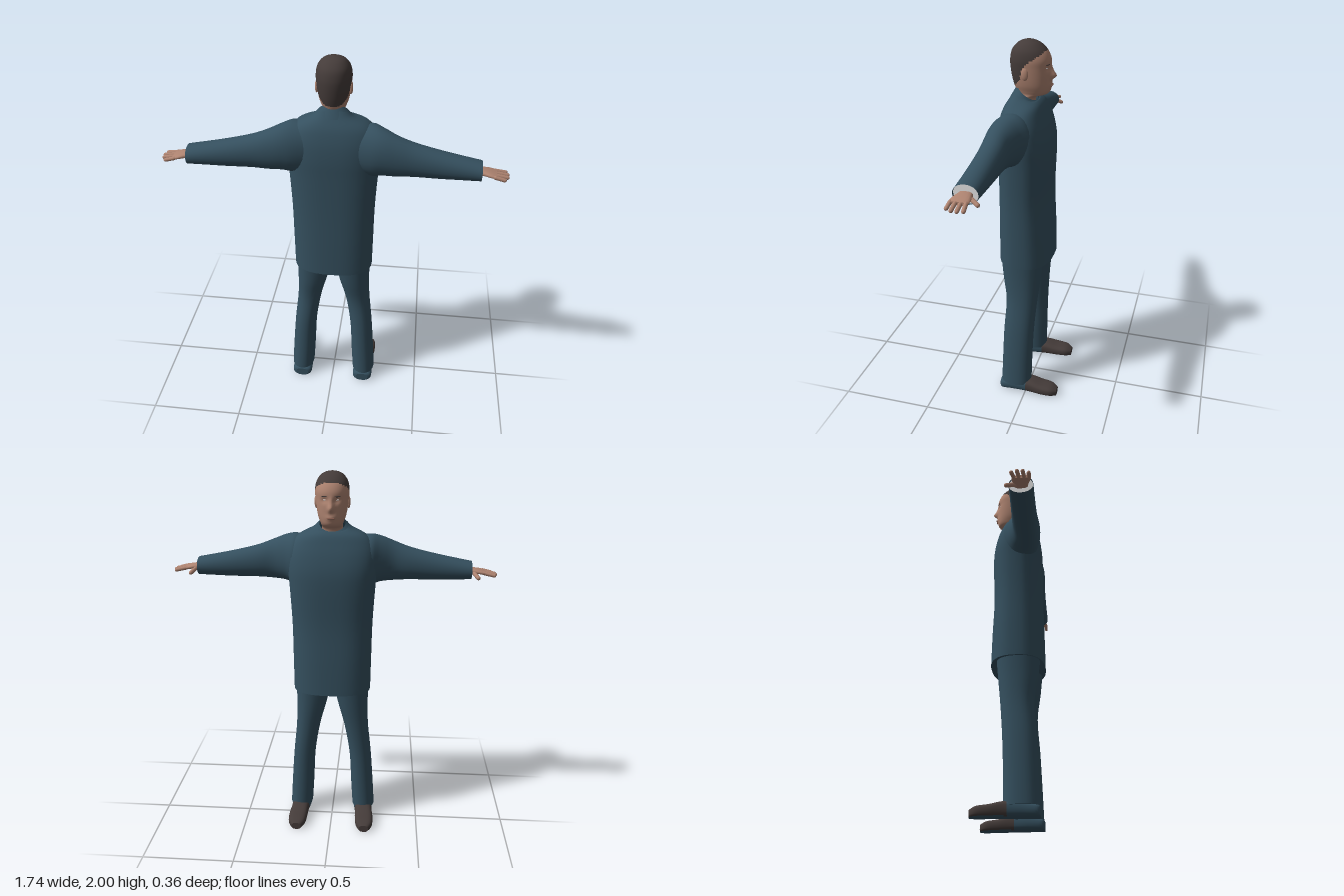
import * as THREE from 'three';

const mat = (name, color) => {
  const m = new THREE.MeshStandardMaterial({ color });
  m.name = name;
  return m;
};

// Catmull-Rom interpolation of rows of numbers
function smooth(rows, steps) {
  const out = [], n = rows.length;
  for (let i = 0; i < n - 1; i++) {
    const [a, b, c, d] = [rows[Math.max(i - 1, 0)], rows[i], rows[i + 1], rows[Math.min(i + 2, n - 1)]];
    for (let k = 0; k < steps; k++) {
      const t = k / steps;
      out.push(b.map((v, j) => v + 0.5 * t * (c[j] - a[j] +
        t * (2 * a[j] - 5 * v + 4 * c[j] - d[j] + t * (3 * (v - c[j]) + d[j] - a[j])))));
    }
  }
  out.push(rows[n - 1]);
  return out;
}

// Skin over rings of points; optional flat ends; pick() chooses a material per quad
function loft(rings, { start = false, end = false, flip = false, pick = null } = {}) {
  const centre = r => {
    const c = r.reduce((s, p) => s.add(p), new THREE.Vector3()).divideScalar(r.length);
    return r.map(() => c);
  };
  const all = [...rings], n = rings[0].length;
  if (start) all.unshift(centre(rings[0]), rings[0]);
  if (end) all.push(rings[rings.length - 1], centre(rings[rings.length - 1]));
  const faces = [[], []];
  for (let i = 0; i < all.length - 1; i++) {
    for (let j = 0; j < n; j++) {
      const k = (j + 1) % n, a = i * n + j, b = i * n + k, c = a + n, d = b + n;
      const mid = all[i][j].clone().add(all[i][k]).add(all[i + 1][j]).add(all[i + 1][k]).multiplyScalar(0.25);
      faces[pick ? pick(mid) : 0].push(...(flip ? [a, b, c, b, d, c] : [a, c, b, b, c, d]));
    }
  }
  const g = new THREE.BufferGeometry().setFromPoints(all.flat());
  g.setIndex([...faces[0], ...faces[1]]);
  if (pick) {
    g.addGroup(0, faces[0].length, 0);
    g.addGroup(faces[0].length, faces[1].length, 1);
  }
  g.computeVertexNormals();
  return g;
}

// Rounded section: power 1 is an ellipse, smaller is squarer
function section(n, power, place) {
  const p = v => Math.sign(v) * Math.abs(v) ** power;
  return Array.from({ length: n }, (_, j) => {
    const t = j / n * Math.PI * 2;
    return place(p(Math.cos(t)), p(Math.sin(t)));
  });
}

// Upright section from [y, back z, front z, half width, centre x, front drop]
const upright = (n, power) => ([y, zb, zf, w, cx, drop]) => section(n, power, (c, s) =>
  new THREE.Vector3(cx + w * c, y + drop * (s - 1) / 2, (zb + zf) / 2 + s * (zb - zf) / 2));

export function createModel() {
  const model = new THREE.Group();
  model.name = 'standingMan';
  const cloth = mat('navy cloth', 0x35505f);
  const skin = mat('skin', 0xb08572);
  const dark = mat('dark brown', 0x453c3a);
  const white = mat('white', 0xffffff);
  const lip = mat('lip', 0x8f6355);
  cloth.side = THREE.DoubleSide;
  const add = (name, geometry, material, parent = model) => {
    const m = new THREE.Mesh(geometry, material);
    m.name = name;
    parent.add(m);
    return m;
  };

  // Long jacket body
  const jacket = [
    [0.82, 0.18, -0.11, 0.212, 0, 0], [1.0, 0.178, -0.104, 0.214, 0, 0],
    [1.2, 0.175, -0.095, 0.217, 0, 0], [1.4, 0.175, -0.1, 0.228, 0, 0],
    [1.5, 0.176, -0.097, 0.235, 0, 0], [1.58, 0.17, -0.08, 0.232, 0, 0],
    [1.64, 0.157, -0.058, 0.21, 0, 0], [1.68, 0.142, -0.04, 0.17, 0, 0],
    [1.72, 0.118, -0.022, 0.105, 0, 0.02], [1.75, 0.1, -0.016, 0.082, 0, 0.05]];
  add('jacket', loft(smooth(jacket, 4).map(upright(40, 0.8)), { start: true }), cloth);

  // Standing collar, lower at the throat
  const collar = [[1.715, 0.123, -0.026, 0.108, 0, 0.02], [1.745, 0.106, -0.02, 0.088, 0, 0.05],
    [1.775, 0.088, -0.012, 0.068, 0, 0.075]];
  add('collar', loft(smooth(collar, 3).map(upright(32, 1))), cloth);

  // Head and neck, with nose, brow and chin shaped by bumps
  const headRows = [
    [1.66, 0.085, 0.0, 0.055, 0, 0], [1.715, 0.088, -0.008, 0.055, 0, 0],
    [1.733, 0.09, -0.06, 0.054, 0, 0], [1.75, 0.095, -0.079, 0.06, 0, 0],
    [1.78, 0.106, -0.083, 0.071, 0, 0], [1.82, 0.116, -0.084, 0.079, 0, 0],
    [1.87, 0.123, -0.083, 0.085, 0, 0], [1.91, 0.123, -0.081, 0.087, 0, 0],
    [1.95, 0.113, -0.062, 0.079, 0, 0], [1.98, 0.088, -0.03, 0.058, 0, 0],
    [1.994, 0.062, 0.0, 0.033, 0, 0], [2.0, 0.035, 0.025, 0.004, 0, 0]];
  const bump = (p, x, y, sx, sy) => Math.exp(-(((p.x - x) / sx) ** 2) - ((p.y - y) / sy) ** 2);
  const headRings = smooth(headRows, 6).map(upright(64, 0.95));
  for (const p of headRings.flat()) {
    if (p.z > -0.03) continue;
    p.z -= 0.024 * bump(p, 0, 1.828, 0.013, 0.018) + 0.01 * bump(p, 0, 1.855, 0.01, 0.025)
      + 0.007 * bump(p, 0, 1.782, 0.025, 0.014);
    for (const s of [-1, 1]) p.z += 0.009 * bump(p, s * 0.032, 1.866, 0.017, 0.013);
  }
  const hairline = [[-0.2, 1.957], [-0.06, 1.95], [0.03, 1.89], [0.05, 1.855], [0.06, 1.81], [0.095, 1.775], [0.2, 1.77]];
  const isHair = p => {
    const i = hairline.findIndex(h => p.z < h[0]);
    const [a, b] = [hairline[i - 1], hairline[i]];
    return p.y > a[1] + (b[1] - a[1]) * (p.z - a[0]) / (b[0] - a[0]) ? 1 : 0;
  };
  add('head', loft(headRings, { pick: isHair, end: true }), [skin, dark]);

  // Facial details sit on the nearest point of the face
  const faceZ = (x, y) => headRings.flat().filter(p => p.z < 0).reduce((best, p) =>
    Math.hypot(p.x - x, p.y - y) < Math.hypot(best.x - x, best.y - y) ? p : best).z;
  const detail = (name, x, y, w, h, material) => {
    const m = add(name, new THREE.SphereGeometry(1, 14, 8), material);
    m.scale.set(w, h, 0.003);
    m.position.set(x, y, faceZ(x, y));
    m.rotation.y = -x * 12;
  };
  detail('mouth', 0, 1.78, 0.022, 0.004, lip);

  // Shoe sections: [z, centre x, half width, height]
  const shoe = [[0.152, 0.183, 0.035, 0.05], [0.135, 0.183, 0.055, 0.06], [0.06, 0.183, 0.055, 0.075],
    [-0.02, 0.188, 0.05, 0.078], [-0.09, 0.193, 0.052, 0.064], [-0.15, 0.195, 0.047, 0.056], [-0.184, 0.195, 0.026, 0.04]];
  // Trouser leg sections
  const leg = [[0.055, 0.148, -0.026, 0.064, 0.184, 0], [0.2, 0.143, -0.028, 0.064, 0.175, 0],
    [0.4, 0.135, -0.035, 0.062, 0.162, 0], [0.58, 0.125, -0.048, 0.067, 0.138, 0],
    [0.72, 0.145, -0.062, 0.083, 0.117, 0], [0.84, 0.158, -0.073, 0.098, 0.104, 0]];
  // Sleeve sections: [x, top, bottom, back z, front z]
  const sleeve = [[0.1, 1.66, 1.42, 0.15, 0.0], [0.19, 1.677, 1.405, 0.172, -0.035], [0.25, 1.665, 1.42, 0.177, 0.0],
    [0.32, 1.636, 1.425, 0.175, 0.03], [0.41, 1.602, 1.43, 0.171, 0.036],
    [0.55, 1.567, 1.43, 0.17, 0.043], [0.733, 1.53, 1.435, 0.171, 0.05]];
  const palm = [[0.7, 1.498, 1.462, 0.142, 0.08], [0.74, 1.495, 1.466, 0.148, 0.075],
    [0.775, 1.489, 1.465, 0.161, 0.07], [0.806, 1.481, 1.463, 0.163, 0.072]];

  for (const s of [1, -1]) {
    const side = s > 0 ? 'left' : 'right', flip = s < 0;
    const across = (n, power) => ([x, yt, yb, zb, zf]) => section(n, power, (c, q) =>
      new THREE.Vector3(s * x, (yt + yb) / 2 + c * (yt - yb) / 2, (zb + zf) / 2 - q * (zb - zf) / 2));

    // Eyes and ears
    detail(side + 'Eye', s * 0.032, 1.868, 0.01, 0.003, white);
    detail(side + 'Brow', s * 0.033, 1.886, 0.017, 0.003, dark);
    const ear = add(side + 'Ear', new THREE.SphereGeometry(1, 12, 10), skin);
    ear.scale.set(0.009, 0.032, 0.018);
    ear.position.set(s * 0.083, 1.845, 0.03);

    // Sleeve with a white lining at the cuff
    add(side + 'Sleeve', loft(smooth(sleeve, 4).map(across(28, 0.95)), { flip }), cloth);
    add(side + 'CuffLining', loft([[0.722, 1.53, 1.437, 0.169, 0.052], [0.725, 1.53, 1.437, 0.169, 0.052]]
      .map(across(28, 0.95)), { flip, end: true }), white);

    // Hand: palm, four fingers and a thumb
    const hand = new THREE.Group();
    hand.name = side + 'Hand';
    model.add(hand);
    add('palm', loft(smooth(palm, 3).map(across(16, 0.8)), { flip, end: true }), skin, hand);
    const digit = (name, a, b, r) => {
      const from = new THREE.Vector3(s * a[0], a[1], a[2]), to = new THREE.Vector3(s * b[0], b[1], b[2]);
      const m = add(name, new THREE.CapsuleGeometry(r, from.distanceTo(to), 4, 10), skin, hand);
      m.position.copy(from).lerp(to, 0.5);
      m.quaternion.setFromUnitVectors(new THREE.Vector3(0, 1, 0), to.sub(from).normalize());
    };
    [0.852, 0.86, 0.858, 0.842].forEach((tip, i) => digit('finger', [0.797, 1.473, 0.083 + i * 0.024],
      [tip, 1.462, 0.075 + i * 0.027], 0.0098));
    digit('thumb', [0.745, 1.474, 0.082], [0.766, 1.456, 0.043], 0.011);

    // Trouser leg
    add(side + 'TrouserLeg', loft(smooth(leg.map(r => r.map((v, i) => i === 4 ? s * v : v)), 4)
      .map(upright(28, 0.9)), { start: true }), cloth);

    // Shoe: cloth-coloured heel and sole, dark toe
    const shoeRings = smooth(shoe, 5).map(([z, cx, w, h]) => section(24, 0.7, (c, q) =>
      new THREE.Vector3(s * cx + w * c, h / 2 * (1 + q), z)));
    add(side + 'Shoe', loft(shoeRings, {
      start: true, end: true, flip: false,
      pick: p => (p.z > 0 || p.y < 0.006 ? 0 : 1),
    }), [cloth, dark]);
  }
  return model;
}
